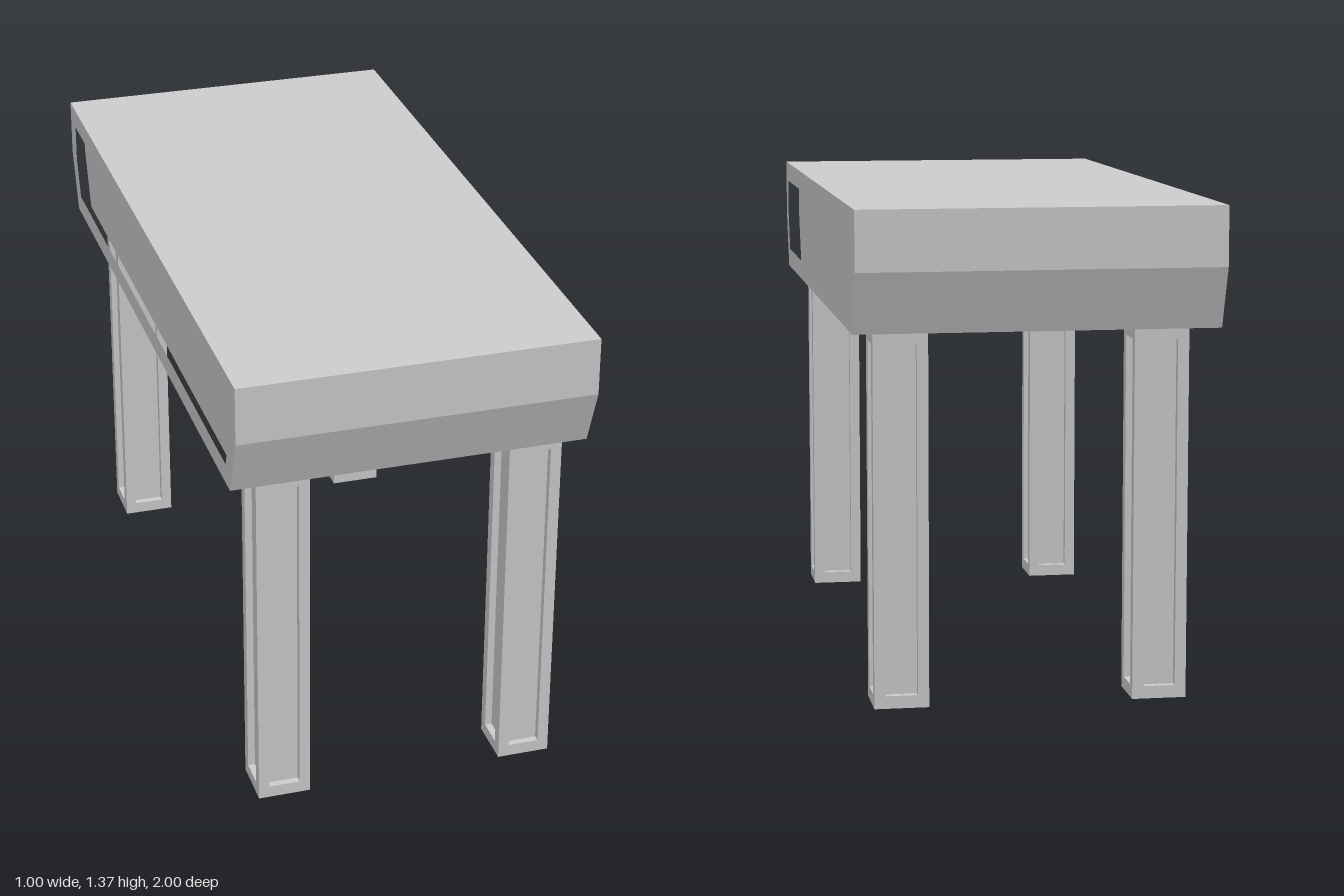
import * as THREE from 'three';

const material = new THREE.MeshStandardMaterial({ color: 0xcccccc, flatShading: true });

const TOP_Y = 1.365, UNDER_Y = 1.03;
const LEG_W = 0.15, LEG_D = 0.147, BORDER = 0.031, RAIL = 0.035, LEG_RECESS = 0.02;
const TABLE_W = 1, TABLE_RECESS = 0.04;

function addMesh(parent, name, geometry, x = 0, y = 0, z = 0) {
  const mesh = new THREE.Mesh(geometry, material);
  mesh.name = name;
  mesh.position.set(x, y, z);
  parent.add(mesh);
  return mesh;
}

// Symmetric six-sided outline in (z, y), given its right half from top to bottom
function outline(half) {
  const right = half.map(([z, y]) => new THREE.Vector2(z, y));
  const left = half.map(([z, y]) => new THREE.Vector2(-z, y)).reverse();
  return [...right, ...left];
}

// Extrusion centred on its depth
function extrude(shape, depth) {
  return new THREE.ExtrudeGeometry(shape, { depth, bevelEnabled: false }).translate(0, 0, -depth / 2);
}

function rectangle(w, d) {
  return [[-w, -d], [w, -d], [w, d], [-w, d]].map(([x, y]) => new THREE.Vector2(x / 2, y / 2));
}

// Thick top with chamfered ends and a sunken panel on each long side
function createTabletop() {
  const group = new THREE.Group();
  group.name = 'tabletop';
  const outer = outline([[1, TOP_Y], [1, 1.2], [0.935, UNDER_Y]]);
  const inner = outline([[0.935, 1.307], [0.935, 1.2], [0.893, 1.087]]);

  const core = extrude(new THREE.Shape(outer), TABLE_W - 2 * TABLE_RECESS).rotateY(-Math.PI / 2);
  addMesh(group, 'tabletopCore', core);

  const rimShape = new THREE.Shape(outer);
  rimShape.holes.push(new THREE.Path(inner));
  const rim = extrude(rimShape, TABLE_RECESS).rotateY(-Math.PI / 2);
  for (const side of [-1, 1]) {
    addMesh(group, side > 0 ? 'leftPanelRim' : 'rightPanelRim', rim, side * (TABLE_W - TABLE_RECESS) / 2);
  }
  return group;
}

// Square leg: corner posts and end rings framing a recessed core
function createLeg(name, x, z) {
  const leg = new THREE.Group();
  leg.name = name;
  leg.position.set(x, 0, z);

  const core = new THREE.BoxGeometry(LEG_W - 2 * LEG_RECESS, UNDER_Y - 2 * LEG_RECESS, LEG_D - 2 * LEG_RECESS);
  addMesh(leg, 'legCore', core, 0, UNDER_Y / 2, 0);

  const post = new THREE.BoxGeometry(BORDER, UNDER_Y - 2 * RAIL, BORDER);
  for (const sx of [-1, 1]) {
    for (const sz of [-1, 1]) {
      addMesh(leg, 'cornerPost', post, sx * (LEG_W - BORDER) / 2, UNDER_Y / 2, sz * (LEG_D - BORDER) / 2);
    }
  }

  const ringShape = new THREE.Shape(rectangle(LEG_W, LEG_D));
  ringShape.holes.push(new THREE.Path(rectangle(LEG_W - 2 * BORDER, LEG_D - 2 * BORDER)));
  const ring = extrude(ringShape, RAIL).rotateX(-Math.PI / 2);
  addMesh(leg, 'bottomRing', ring, 0, RAIL / 2, 0);
  addMesh(leg, 'topRing', ring, 0, UNDER_Y - RAIL / 2, 0);
  return leg;
}

export function createModel() {
  const model = new THREE.Group();
  model.name = 'table';
  model.add(createTabletop());

  // Legs stand slightly off-centre under the top
  for (const [side, x] of [['Left', 0.366], ['Right', -0.347]]) {
    for (const [end, z] of [['front', 0.831], ['back', -0.811]]) {
      model.add(createLeg(`${end}${side}Leg`, x, z));
    }
  }
  return model;
}
